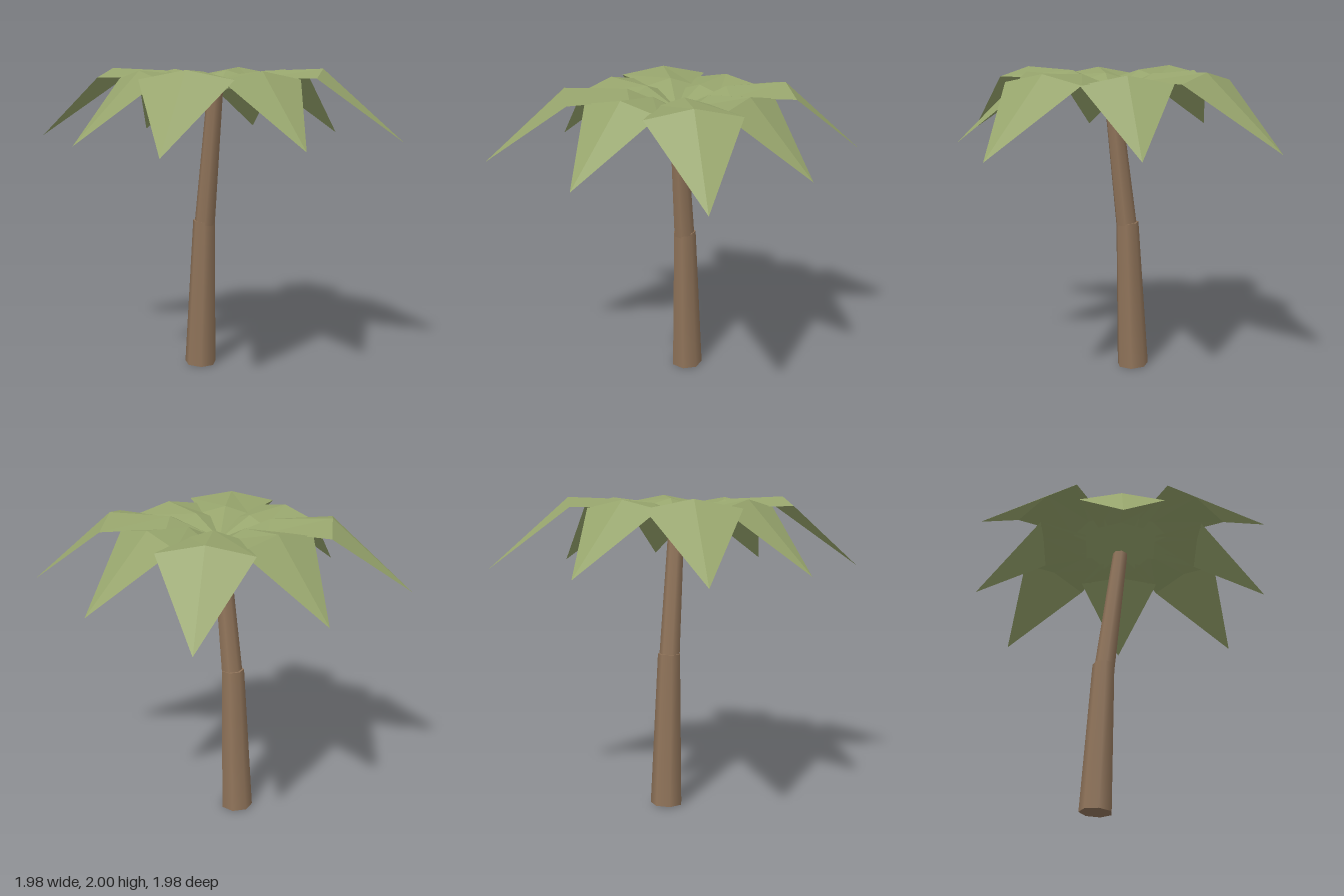
import * as THREE from 'three';

const bark = new THREE.MeshStandardMaterial({ color: 0x90745a });
bark.name = 'barkBrown';
const green = new THREE.MeshStandardMaterial({ color: 0x96a46c, side: THREE.DoubleSide, flatShading: true });
green.name = 'leafGreen';

// Tapered seven-sided trunk piece between two points in the x-y plane
function trunkPiece(name, from, to, rBottom, rTop) {
  const a = new THREE.Vector3(...from, 0), b = new THREE.Vector3(...to, 0);
  const mesh = new THREE.Mesh(new THREE.CylinderGeometry(rTop, rBottom, a.distanceTo(b), 7), bark);
  mesh.position.copy(a).add(b).multiplyScalar(0.5);
  mesh.rotation.z = -Math.atan2(b.x - a.x, b.y - a.y);
  mesh.name = name;
  return mesh;
}

// Folded leaf along +z: each row is [distance, ridge height, edge height, half width]
function leafGeometry(rows) {
  const points = [];
  const row = ([z, ridge, edge, w]) => [[-w, edge, z], [0, ridge, z], [w, edge, z]];
  for (let i = 0; i < rows.length - 1; i++) {
    const a = row(rows[i]), b = row(rows[i + 1]);
    for (let s = 0; s < 2; s++) {
      if (rows[i + 1][3] > 0) points.push(a[s], b[s], b[s + 1]);
      if (rows[i][3] > 0) points.push(a[s], b[s + 1], a[s + 1]);
    }
  }
  const g = new THREE.BufferGeometry();
  g.setAttribute('position', new THREE.Float32BufferAttribute(points.flat(), 3));
  g.computeVertexNormals();
  return g;
}

export function createModel() {
  const group = new THREE.Group();
  group.name = 'palmTree';

  // Trunk in two leaning pieces with a small step between them
  group.add(trunkPiece('lowerTrunk', [-0.153, 0.005], [-0.11, 1.0], 0.106, 0.075));
  group.add(trunkPiece('upperTrunk', [-0.104, 0.98], [0, 1.86], 0.069, 0.052));

  // Crown of alternating long and short leaves
  const long = leafGeometry([
    [0, 1.85, 1.85, 0], [0.31, 1.985, 1.94, 0.15], [0.69, 2.0, 1.945, 0.284], [1.2, 1.55, 1.55, 0]]);
  const short = leafGeometry([
    [0, 1.85, 1.85, 0], [0.24, 1.965, 1.92, 0.15], [0.54, 1.99, 1.937, 0.28], [0.986, 1.55, 1.55, 0]]);
  for (let i = 0; i < 8; i++) {
    const leaf = new THREE.Mesh(i % 2 ? short : long, green);
    leaf.rotation.y = THREE.MathUtils.degToRad(34.5 + i * 45);
    leaf.name = i % 2 ? 'shortLeaf' : 'longLeaf';
    group.add(leaf);
  }
  return group;
}
